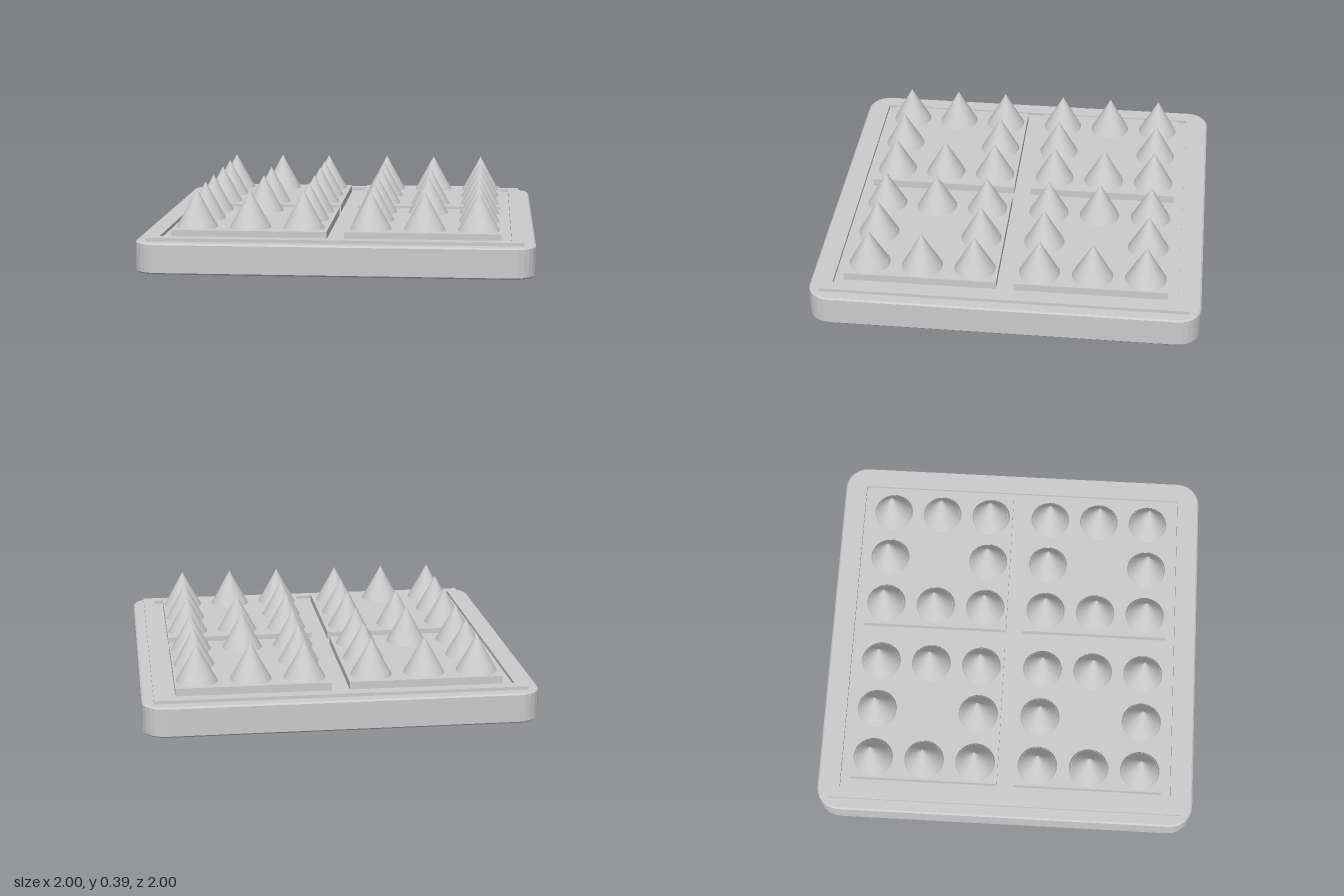
import * as THREE from 'three';

const material = new THREE.MeshStandardMaterial({ color: 0xcccccc });
const flat = new THREE.MeshStandardMaterial({ color: 0xcccccc, flatShading: true });

function addMesh(parent, name, geometry, mat, x = 0, y = 0, z = 0) {
  const mesh = new THREE.Mesh(geometry, mat);
  mesh.name = name;
  mesh.position.set(x, y, z);
  parent.add(mesh);
  return mesh;
}

// Square outline with rounded corners; h is half the side
function roundedSquare(h, r) {
  const s = new THREE.Shape();
  s.moveTo(h, -h + r);
  s.lineTo(h, h - r).absarc(h - r, h - r, r, 0, Math.PI / 2);
  s.lineTo(-h + r, h).absarc(-h + r, h - r, r, Math.PI / 2, Math.PI);
  s.lineTo(-h, -h + r).absarc(-h + r, -h + r, r, Math.PI, Math.PI * 1.5);
  s.lineTo(h - r, -h).absarc(h - r, -h + r, r, Math.PI * 1.5, Math.PI * 2);
  return s;
}

function squarePath(h) {
  return [[-h, -h], [h, -h], [h, h], [-h, h]].map(([x, y]) => new THREE.Vector2(x, y));
}

export function createModel() {
  const model = new THREE.Group();
  model.name = 'spikedTile';

  // Slab with softened corners and a fine bevel
  const bevel = 0.008;
  const slab = new THREE.ExtrudeGeometry(roundedSquare(1 - bevel, 0.12 - bevel), {
    depth: 0.157 - 2 * bevel, curveSegments: 3,
    bevelThickness: bevel, bevelSize: bevel, bevelSegments: 1,
  });
  slab.rotateX(-Math.PI / 2);
  addMesh(model, 'baseSlab', slab, flat, 0, bevel, 0);

  // Low raised border
  const frame = new THREE.Shape(squarePath(0.94));
  frame.holes.push(new THREE.Path(squarePath(0.88).reverse()));
  const border = new THREE.ExtrudeGeometry(frame, { depth: 0.022, bevelEnabled: false });
  border.rotateX(-Math.PI / 2);
  addMesh(model, 'raisedBorder', border, flat, 0, 0.152, 0);

  // Four plates, each ringed by eight spikes
  const plateGeo = new THREE.BoxGeometry(0.785, 0.045, 0.785);
  const collarGeo = new THREE.CylinderGeometry(0.095, 0.107, 0.024, 32);
  const spikeGeo = new THREE.ConeGeometry(0.096, 0.175, 32);
  const pitch = 0.273;
  for (const sx of [-1, 1]) for (const sz of [-1, 1]) {
    const quarter = new THREE.Group();
    quarter.name = 'spikePlate';
    quarter.position.set(sx * 0.4375, 0, sz * 0.4375);
    model.add(quarter);
    addMesh(quarter, 'plate', plateGeo, flat, 0, 0.1745, 0);
    for (let i = -1; i <= 1; i++) for (let j = -1; j <= 1; j++) {
      if (i === 0 && j === 0) continue;
      const x = i * pitch + sx * 0.006, z = j * pitch + sz * 0.002;
      addMesh(quarter, 'spikeCollar', collarGeo, material, x, 0.207, z);
      addMesh(quarter, 'spike', spikeGeo, material, x, 0.3025, z);
    }
  }
  return model;
}
